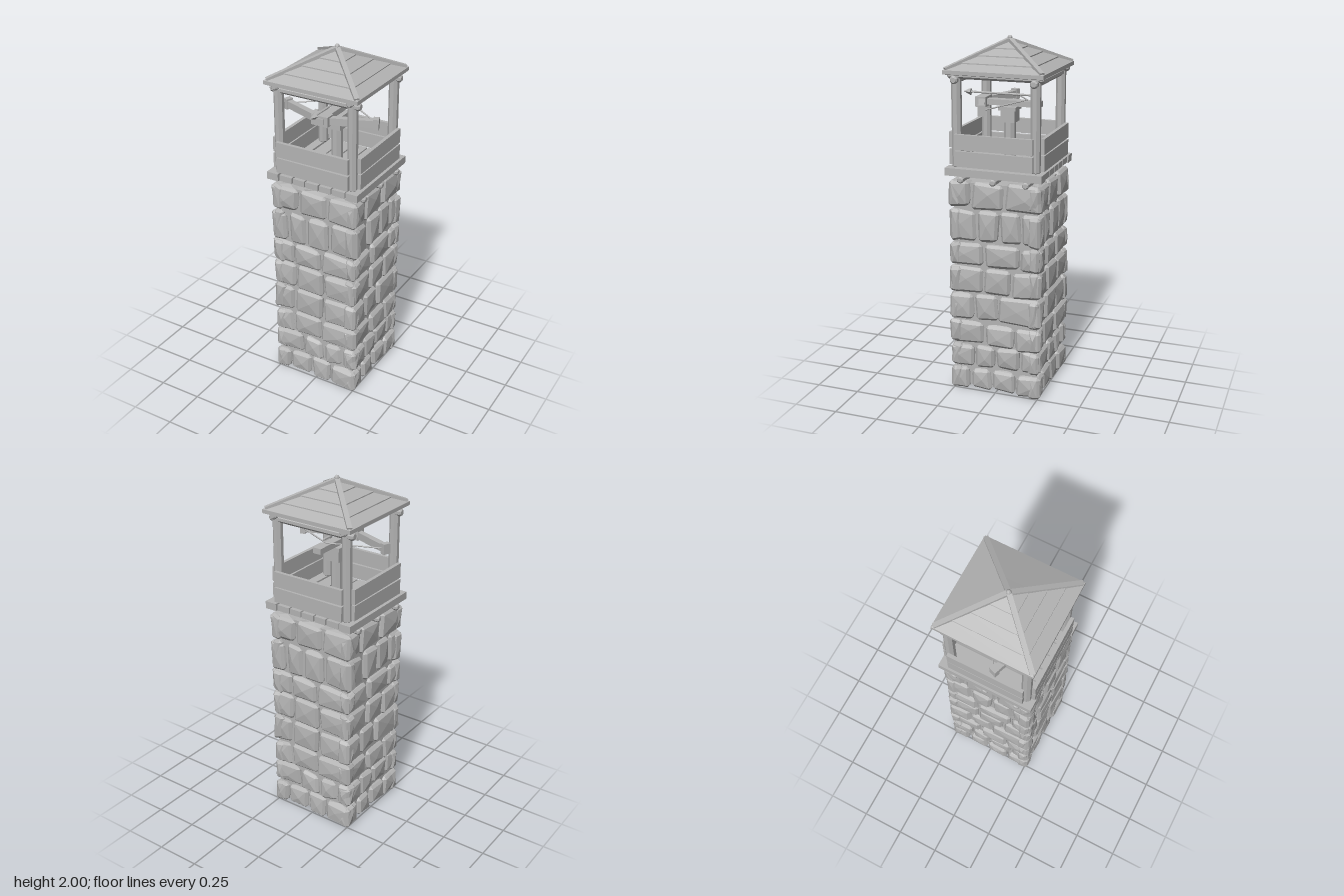
import * as THREE from 'three';
import { ConvexGeometry } from 'three/addons/geometries/ConvexGeometry.js';

const grey = new THREE.MeshStandardMaterial({ color: 0xb4b4b4, flatShading: true });
grey.name = 'plain grey';

let seed = 7;
const rand = () => {
  seed = (seed * 16807) % 2147483647;
  return seed / 2147483647 - 0.5;
};
const V = (x, y, z) => new THREE.Vector3(x, y, z);

function add(parent, name, geometry, x = 0, y = 0, z = 0) {
  const mesh = new THREE.Mesh(geometry, grey);
  mesh.name = name;
  mesh.position.set(x, y, z);
  parent.add(mesh);
  return mesh;
}

function box(parent, name, w, h, d, x, y, z) {
  return add(parent, name, new THREE.BoxGeometry(w, h, d), x, y, z);
}

// Square beam running from a to b
function beam(parent, name, a, b, w, h) {
  const mid = a.clone().add(b).multiplyScalar(0.5);
  const mesh = box(parent, name, w, h, a.distanceTo(b), mid.x, mid.y, mid.z);
  const target = b.clone();
  const m = new THREE.Matrix4().lookAt(target, mid, V(0, 1, 0));
  mesh.quaternion.setFromRotationMatrix(m);
  return mesh;
}

// Eight-sided log with chamfered ends running from a to b
function log(parent, name, a, b, r) {
  const len = a.distanceTo(b), c = Math.min(r * 0.35, len / 4);
  const profile = [[0, 0], [r - c, 0], [r, c], [r, len - c], [r - c, len], [0, len]];
  const geo = new THREE.LatheGeometry(profile.map(p => new THREE.Vector2(...p)), 8, Math.PI / 8);
  const mesh = add(parent, name, geo, a.x, a.y, a.z);
  mesh.quaternion.setFromUnitVectors(V(0, 1, 0), b.clone().sub(a).normalize());
  return mesh;
}

// Irregular chamfered stone with slightly raised faces
function stoneGeometry(x0, x1, y0, y1, z0, z1) {
  const c = [(x0 + x1) / 2, (y0 + y1) / 2, (z0 + z1) / 2];
  const h = [(x1 - x0) / 2, (y1 - y0) / 2, (z1 - z0) / 2];
  const bevel = 0.014, points = [];
  for (const sx of [-1, 1]) for (const sy of [-1, 1]) for (const sz of [-1, 1]) {
    const s = [sx, sy, sz];
    const corner = s.map((v, i) => c[i] + v * (h[i] - 0.004) + rand() * (i === 2 ? 0.008 : 0.016));
    for (let axis = 0; axis < 3; axis++) {
      points.push(V(...corner.map((v, i) => (i === axis ? v : v - s[i] * bevel))));
    }
  }
  for (let axis = 0; axis < 3; axis++) for (const s of [-1, 1]) {
    const p = c.map((v, i) => (i === axis ? v + s * (h[i] + 0.004) : v + rand() * h[i] * 0.4));
    points.push(V(...p));
  }
  return new ConvexGeometry(points);
}

function buildTower(root) {
  const tower = new THREE.Group();
  tower.name = 'stoneTower';
  root.add(tower);
  box(tower, 'towerCore', 0.48, 1.2, 0.48, 0, 0.63, 0);

  // Courses: bottom, top, joints on the front and back, joints on the two sides
  const courses = [
    [0.01, 0.14, [-0.165, -0.025, 0.098], [-0.15, -0.02, 0.12]],
    [0.148, 0.28, [-0.08, 0.055, 0.18], [-0.125, 0.003, 0.145]],
    [0.285, 0.425, [-0.143, 0.045], [-0.06, 0.113]],
    [0.432, 0.59, [-0.13, 0.055], [-0.12, 0.02]],
    [0.595, 0.75, [-0.117, 0.06], [-0.07, 0.095]],
    [0.755, 0.888, [-0.135, 0.042], [-0.06, 0.143]],
    [0.9, 1.08, [-0.167, -0.048, 0.093], [-0.103, 0.025, 0.153]],
    [1.09, 1.238, [-0.095, 0.085], [-0.135, 0.058]],
  ];
  for (const side of [0, 1]) {
    const walls = [0, 2].map(turn => {
      const wall = new THREE.Group();
      wall.name = 'stoneWall';
      wall.rotation.y = (side + turn) * Math.PI / 2;
      tower.add(wall);
      return wall;
    });
    for (const course of courses) {
      const joints = [-0.272, ...course[2 + side], 0.272];
      for (let i = 0; i + 1 < joints.length; i++) {
        const lift = rand() * 0.01;
        const geo = stoneGeometry(joints[i] + 0.003, joints[i + 1] - 0.003,
          Math.max(0.004, course[0] + lift), course[1] + lift, 0.19, 0.265 + rand() * 0.01);
        for (const wall of walls) add(wall, 'stone', geo);
      }
    }
  }
}

function buildLookout(root) {
  const lookout = new THREE.Group();
  lookout.name = 'lookout';
  root.add(lookout);

  // Floor: three logs under seven planks
  for (const z of [-0.185, 0, 0.185]) {
    log(lookout, 'floorLog', V(-0.285, 1.25, z), V(0.285, 1.25, z), 0.019);
  }
  for (let i = -3; i <= 3; i++) {
    const edge = Math.abs(i) === 3;
    box(lookout, 'floorPlank', i % 2 ? 0.07 : 0.077, edge ? 0.042 : 0.034, edge ? 0.55 : 0.54,
      i * 0.0815, 1.29, 0);
  }

  // Corner posts and the beams they carry
  for (const x of [-0.222, 0.222]) {
    for (const z of [-0.222, 0.222]) log(lookout, 'cornerPost', V(x, 1.305, z), V(x, 1.8, z), 0.028);
    log(lookout, 'upperBeam', V(x, 1.808, -0.268), V(x, 1.808, 0.268), 0.022);
    log(lookout, 'lowerBeam', V(-0.268, 1.785, x), V(0.268, 1.785, x), 0.022);
  }

  // Two rail boards on each side
  for (let k = 0; k < 4; k++) {
    const railing = new THREE.Group();
    railing.name = 'railing';
    railing.rotation.y = k * Math.PI / 2;
    lookout.add(railing);
    box(railing, 'upperRailBoard', 0.44, 0.085, 0.02, 0, 1.455, 0.26).rotation.z = 0.004;
    box(railing, 'lowerRailBoard', 0.44, 0.085, 0.02, 0, 1.362, 0.26).rotation.z = -0.004;
  }
}

function buildRoof(root) {
  const roof = new THREE.Group();
  roof.name = 'roof';
  root.add(roof);

  // Lapped boards as a stepped profile around four sides
  const profile = [[0, 1.95], [0.27, 1.812], [0.278, 1.815]];
  const steps = [0.278, 0.212, 0.145, 0.078, 0.005];
  const slope = r => 1.972 - r * 0.51;
  for (let i = 0; i < 4; i++) {
    profile.push([steps[i], slope(steps[i]) + 0.006], [steps[i + 1], slope(steps[i + 1])]);
  }
  profile.push([0, 1.972]);
  const points = profile.map(([r, y]) => new THREE.Vector2(r * Math.SQRT2, y));
  add(roof, 'roofBoards', new THREE.LatheGeometry(points, 4, Math.PI / 4));

  // Hip beams and the knob at the peak
  for (const x of [-1, 1]) for (const z of [-1, 1]) {
    beam(roof, 'hipBeam', V(x * 0.005, 1.974, z * 0.005), V(x * 0.267, 1.838, z * 0.267), 0.026, 0.022);
  }
  add(roof, 'roofKnob', new THREE.SphereGeometry(0.014, 8, 6), 0, 1.986, 0);
}

function buildBallista(root) {
  const ballista = new THREE.Group();
  ballista.name = 'mountedCrossbow';
  root.add(ballista);

  // Stand
  log(ballista, 'standPost', V(0, 1.3, 0), V(0, 1.55, 0), 0.032);
  box(ballista, 'standBlock', 0.08, 0.07, 0.08, 0, 1.565, 0);
  box(ballista, 'standCap', 0.1, 0.02, 0.1, 0, 1.607, 0);

  // Stock and bow arms
  box(ballista, 'stock', 0.05, 0.032, 0.37, 0, 1.635, 0.005);
  box(ballista, 'stockHead', 0.1, 0.056, 0.06, 0, 1.636, 0.155);
  for (const s of [-1, 1]) {
    const tip = V(s * 0.275, 1.635, 0.06);
    beam(ballista, 'bowArm', V(0, 1.635, 0.165), tip, 0.034, 0.04);
    const cap = beam(ballista, 'bowTip', V(s * 0.255, 1.635, 0.0675), V(s * 0.284, 1.635, 0.0565), 0.042, 0.058);
    cap.name = 'bowTip';
    log(ballista, 'bowString', tip, V(0, 1.655, -0.1), 0.004);
  }

  // Loaded bolt
  log(ballista, 'boltShaft', V(0, 1.681, -0.12), V(0, 1.681, 0.25), 0.006);
  const head = add(ballista, 'boltHead', new THREE.ConeGeometry(0.021, 0.045, 4), 0, 1.681, 0.25);
  head.rotation.x = Math.PI / 2;
}

export function createModel() {
  const root = new THREE.Group();
  root.name = 'watchtower';
  buildTower(root);
  buildLookout(root);
  buildRoof(root);
  buildBallista(root);
  return root;
}
